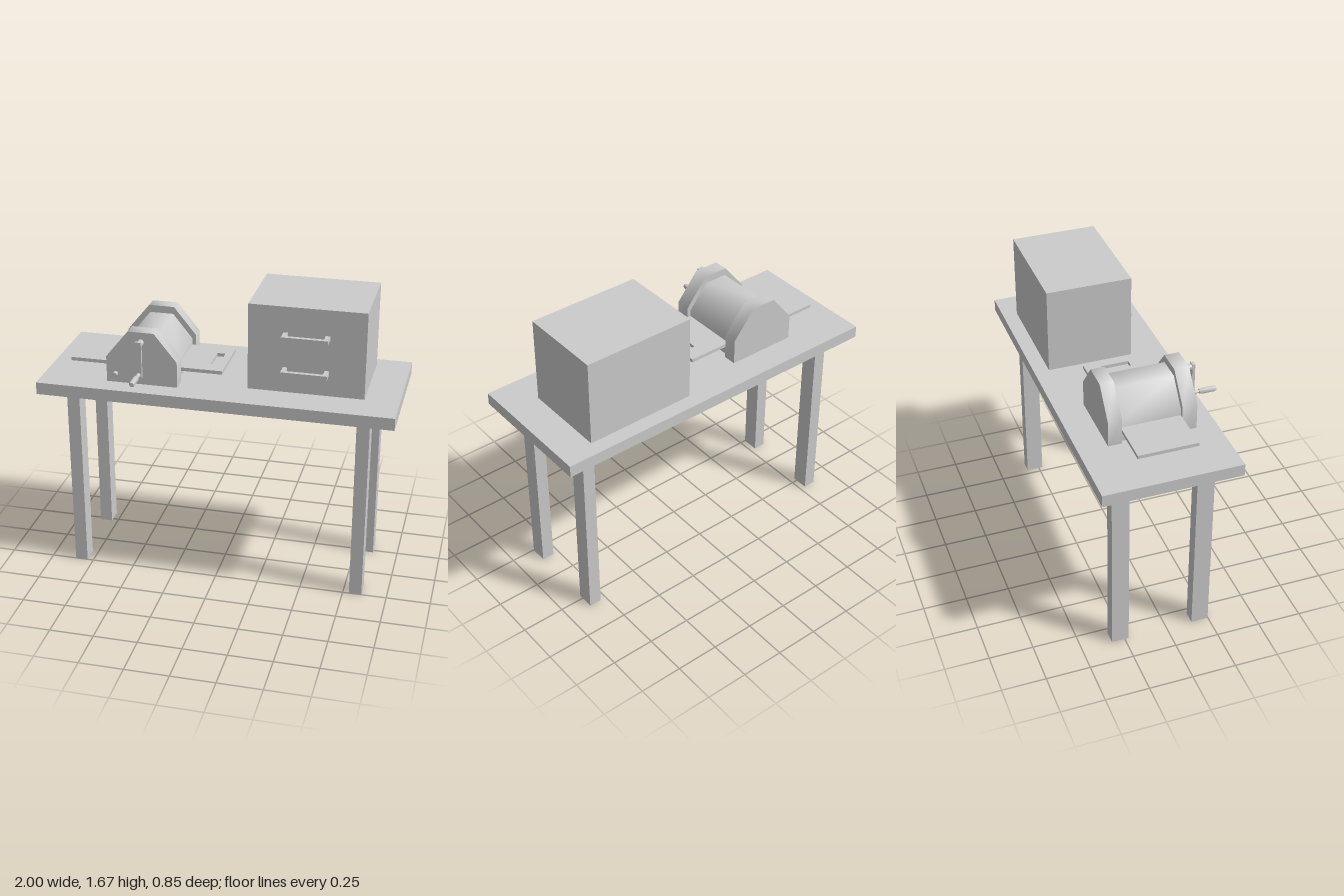
import * as THREE from 'three';
import { toCreasedNormals } from 'three/addons/utils/BufferGeometryUtils.js';

const material = new THREE.MeshStandardMaterial({ color: 0xcccccc });

export function createModel() {
  const model = new THREE.Group();

  const add = (name, geometry, parent = model) => {
    const mesh = new THREE.Mesh(geometry, material);
    mesh.name = name;
    parent.add(mesh);
    return mesh;
  };

  // Box given by its limits on each axis
  const box = (name, [x0, x1], [y0, y1], [z0, z1], parent) => {
    const mesh = add(name, new THREE.BoxGeometry(x1 - x0, y1 - y0, z1 - z0), parent);
    mesh.position.set((x0 + x1) / 2, (y0 + y1) / 2, (z0 + z1) / 2);
    return mesh;
  };

  // Outline in x, y extruded from z0 to z1, soft over the shallow corners
  const slab = (name, points, z0, z1, parent) => {
    const shape = new THREE.Shape(points.map(([x, y]) => new THREE.Vector2(x, y)));
    const geometry = new THREE.ExtrudeGeometry(shape, { depth: z1 - z0, bevelEnabled: false });
    geometry.translate(0, 0, z0);
    return add(name, toCreasedNormals(geometry, 1), parent);
  };

  // Turned part along z; profile points are [radius, z]
  const turned = (name, profile, x, y, parent) => {
    const geometry = new THREE.LatheGeometry(profile.map(([r, z]) => new THREE.Vector2(r, z)), 20);
    geometry.rotateX(Math.PI / 2);
    const mesh = add(name, toCreasedNormals(geometry, 0.7), parent);
    mesh.position.set(x, y, 0);
    return mesh;
  };

  // Table
  box('tableTop', [-1, 1], [1.105, 1.175], [-0.425, 0.348]);
  for (const x of [-0.858, 0.785]) {
    for (const z of [-0.325, 0.15]) box('tableLeg', [x, x + 0.072], [0, 1.105], [z, z + 0.098]);
  }

  // Cabinet with two U-shaped handles
  const cabinet = new THREE.Group();
  cabinet.name = 'cabinet';
  model.add(cabinet);
  box('cabinetBody', [0.16, 0.808], [1.175, 1.672], [-0.34, 0.148], cabinet);
  const handleOutline = new THREE.Shape([
    [0.355, 0.148], [0.38, 0.148], [0.38, 0.198], [0.585, 0.198],
    [0.585, 0.148], [0.61, 0.148], [0.61, 0.222], [0.355, 0.222],
  ].map(([x, z]) => new THREE.Vector2(x, z)));
  for (const y of [1.297, 1.5]) {
    const geometry = new THREE.ExtrudeGeometry(handleOutline, { depth: 0.025, bevelEnabled: false });
    geometry.rotateX(Math.PI / 2);
    add('drawerHandle', geometry, cabinet).position.y = y + 0.025;
  }

  // Machine: two end plates with a slimmer housing between them
  const machine = new THREE.Group();
  machine.name = 'crankMachine';
  model.add(machine);
  const cx = -0.42;
  const outline = (half, shoulder, topHalf, top) => [
    [cx - half, 1.175], [cx + half, 1.175], [cx + half, shoulder],
    [cx + topHalf, top], [cx - topHalf, top], [cx - half, shoulder],
  ];
  const plate = outline(0.202, 1.323, 0.073, 1.482);
  slab('frontPlate', plate, 0.15, 0.233, machine);
  slab('backPlate', plate, -0.262, -0.185, machine);
  slab('drumHousing', outline(0.18, 1.3, 0.068, 1.44), -0.185, 0.15, machine);

  // Paper trays with a slot near the outer end, mirrored about the machine
  for (const side of [-1, 1]) {
    const rect = (Type, a, b, z0, z1) => new Type([[a, z0], [b, z0], [b, z1], [a, z1]]
      .map(([x, z]) => new THREE.Vector2(cx + side * x, z)));
    const tray = rect(THREE.Shape, 0.17, 0.437, -0.185, 0.15);
    tray.holes.push(rect(THREE.Path, 0.35, 0.396, -0.096, 0.064));
    const geometry = new THREE.ExtrudeGeometry(tray, { depth: 0.02, bevelEnabled: false });
    geometry.rotateX(Math.PI / 2);
    add('paperTray', geometry, machine).position.y = 1.262;
  }

  // Crank and side knob
  turned('crankShaft', [[0, 0.225], [0.018, 0.225], [0.018, 0.276], [0, 0.276]], cx, 1.425, machine);
  box('crankArm', [cx - 0.018, cx + 0.018], [1.24, 1.447], [0.276, 0.292], machine);
  turned('crankGrip', [
    [0, 0.286], [0.013, 0.286], [0.013, 0.305], [0.008, 0.312], [0.008, 0.328],
    [0.013, 0.328], [0.016, 0.345], [0.016, 0.415], [0.012, 0.425], [0, 0.425],
  ], cx, 1.255, machine);
  turned('sideKnob', [[0, 0.225], [0.014, 0.225], [0.014, 0.246], [0.01, 0.252], [0, 0.252]],
    -0.57, 1.226, machine);

  return model;
}
